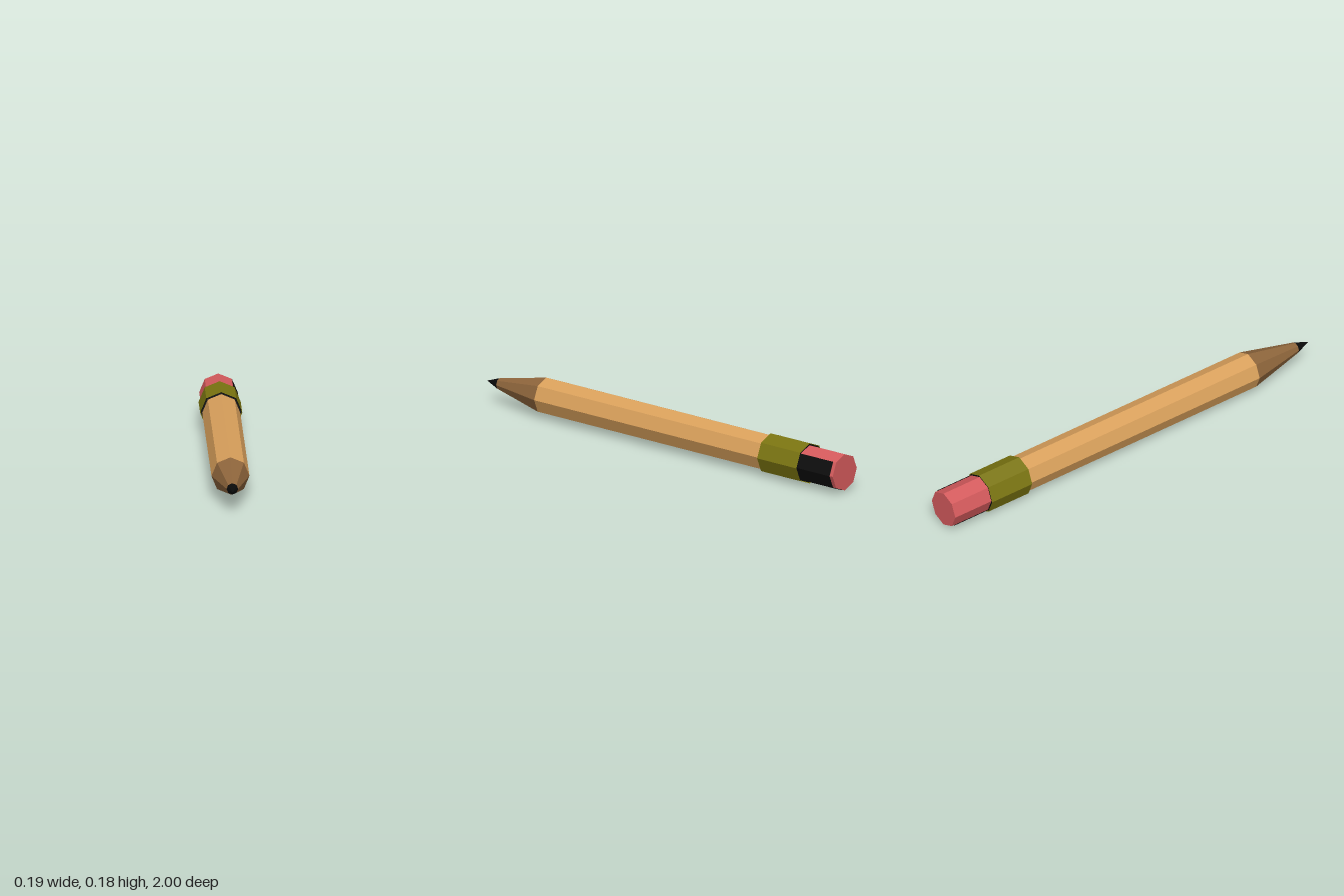
import * as THREE from 'three';

export function createModel() {
  const pencil = new THREE.Group();
  pencil.name = 'pencil';

  const material = (name, color, side = THREE.FrontSide) => {
    const m = new THREE.MeshStandardMaterial({ color, flatShading: true, side });
    m.name = name;
    return m;
  };
  const wood = material('wood', 0xd9a05b);
  const cutWood = material('cutWood', 0x8f663c);
  const olive = material('oliveMetal', 0x7a7410, THREE.DoubleSide);
  const pink = material('pinkRubber', 0xd45a5c);
  const black = material('black', 0x0a0a0a, THREE.DoubleSide);

  // Eight-sided section along z, from its back end to its front end
  const section = (name, mat, back, front, rBack, rFront, open = false, start = 0, sweep = Math.PI * 2) => {
    const sides = Math.round((8 * sweep) / (Math.PI * 2));
    const geometry = new THREE.CylinderGeometry(rFront, rBack, front - back, sides, 1, open, start, sweep);
    geometry.rotateX(Math.PI / 2);
    geometry.translate(0, 0, (front + back) / 2);
    const mesh = new THREE.Mesh(geometry, mat);
    mesh.name = name;
    pencil.add(mesh);
  };

  // Writing end and shaft
  section('leadTip', black, 0.93, 1, 0.025, 0);
  section('sharpenedCone', cutWood, 0.67, 0.93, 0.082, 0.025);
  section('shaft', wood, -0.7, 0.67, 0.082, 0.082);

  // Ferrule tube with a dark filling set just inside its open ends
  section('ferrule', olive, -0.805, -0.585, 0.091, 0.091, true);
  section('ferruleFilling', black, -0.802, -0.588, 0.0875, 0.0875);

  // Eraser, with a dark band over the four lower left-hand faces
  section('eraser', pink, -1, -0.7, 0.082, 0.082);
  section('eraserBand', black, -0.985, -0.8, 0.0845, 0.0845, true, -Math.PI / 4, Math.PI);

  // The pencil lies very slightly askew
  pencil.rotation.y = -0.0103;
  pencil.position.set(-0.005, 0.091, 0);

  const model = new THREE.Group();
  model.name = 'pencilModel';
  model.add(pencil);
  return model;
}
